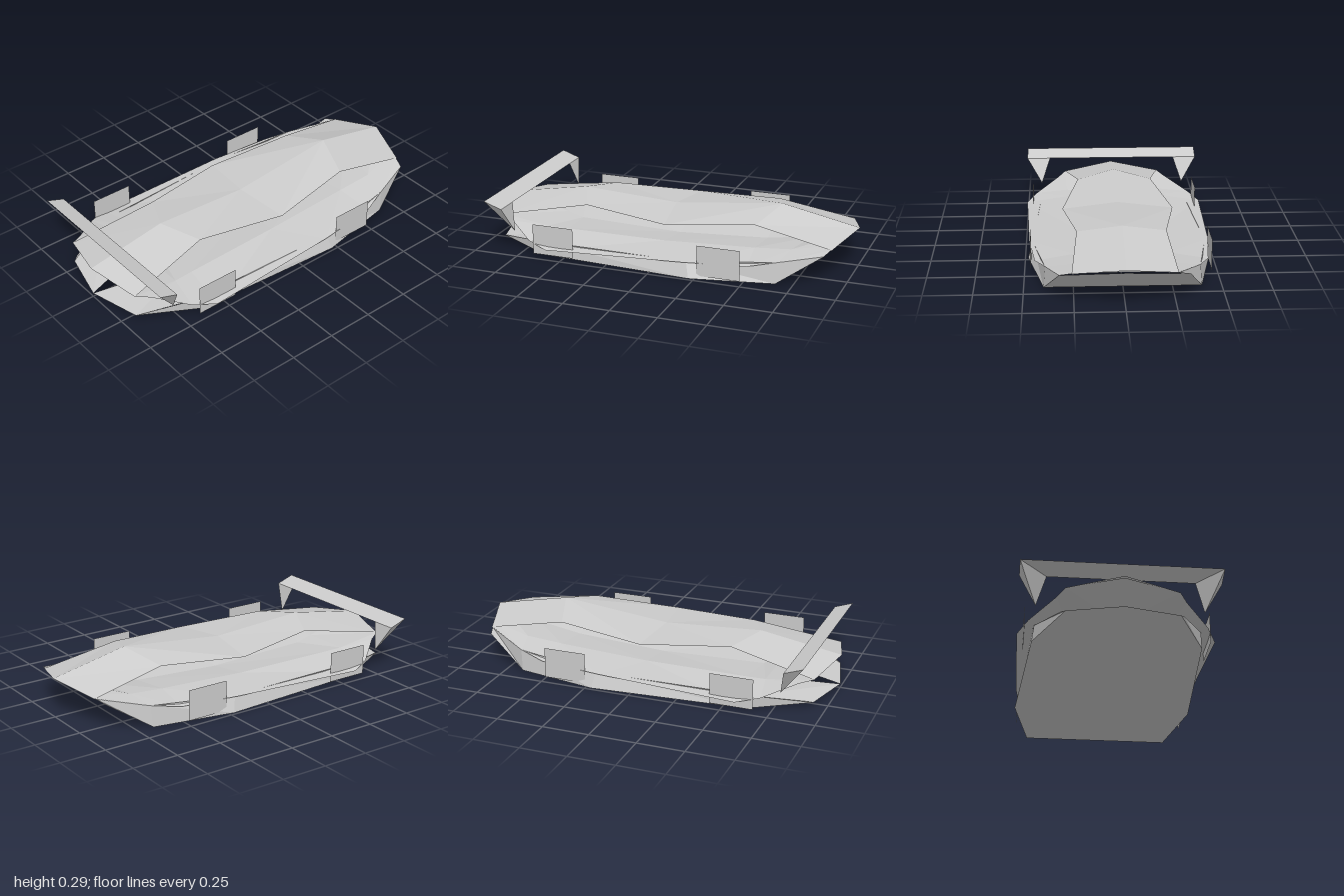
import * as THREE from 'three';

const material = (side) => new THREE.MeshStandardMaterial({ color: 0xcccccc, flatShading: true, side });

// Faceted surface through rows of points, two triangles per cell
function sheet(name, rows, side = THREE.DoubleSide) {
  const pos = [];
  for (let r = 0; r < rows.length - 1; r++) {
    for (let c = 0; c < rows[r].length - 1; c++) {
      const a = rows[r][c], b = rows[r][c + 1], d = rows[r + 1][c], e = rows[r + 1][c + 1];
      // mirror the diagonal about the centre line
      const tris = a[0] + b[0] > 0 ? [a, b, d, b, e, d] : [a, b, e, a, e, d];
      for (const p of tris) pos.push(...p);
    }
  }
  const geo = new THREE.BufferGeometry();
  geo.setAttribute('position', new THREE.Float32BufferAttribute(pos, 3));
  geo.computeVertexNormals();
  const mesh = new THREE.Mesh(geo, material(side));
  mesh.name = name;
  return mesh;
}

const flip = ([x, y, z]) => [-x, y, z];

// Half rows start on the centre line and run outwards to +x
const whole = (rows) => rows.map((row) => [...row.slice(1).reverse().map(flip), ...row]);

export function createModel() {
  const car = new THREE.Group();
  car.name = 'car';

  // Canopy: crest and side edge from one end to the other
  car.add(sheet('canopy', whole([
    [[0, 0.185, 1], [0.28, 0.145, 0.93]],
    [[0, 0.26, 0.56], [0.21, 0.23, 0.46]],
    [[0, 0.23, 0.02], [0.3, 0.207, -0.02]],
    [[0, 0.295, -0.58], [0.23, 0.24, -0.5]],
    [[0, 0.21, -1], [0.26, 0.165, -0.915]],
  ])));

  // Deck with the flared fenders, sagging below the canopy
  car.add(sheet('deck', whole([
    [[0, 0.18, 0.99], [0.28, 0.145, 0.93], [0.32, 0.13, 0.86]],
    [[0, 0.1, 0.67], [0.27, 0.105, 0.67], [0.45, 0.078, 0.7]],
    [[0, 0.075, 0.58], [0.26, 0.1, 0.56], [0.505, 0.058, 0.58]],
    [[0, 0.06, 0], [0.24, 0.095, 0], [0.48, 0.083, -0.18]],
    [[0, 0.09, -0.5], [0.24, 0.12, -0.5], [0.445, 0.092, -0.52]],
    [[0, 0.13, -0.75], [0.25, 0.14, -0.7], [0.39, 0.115, -0.67]],
    [[0, 0.2, -0.99], [0.2, 0.175, -0.93], [0.26, 0.165, -0.915]],
  ])));

  // Floor pan with the raised end panel
  const floor = [
    [[0, 0.02, 1], [0.28, 0.02, 0.93]],
    [[0, 0, 0.62], [0.43, 0, 0.62]],
    [[0, 0, -0.22], [0.485, 0, -0.22]],
    [[0, 0, -0.66], [0.4, 0, -0.66]],
    [[0, 0.16, -0.9], [0.32, 0.15, -0.89]],
  ];
  car.add(sheet('floorPan', whole(floor).map((row) => row.reverse()), THREE.FrontSide));

  for (const s of [1, -1]) {
    const place = (rows) => (s > 0 ? rows : rows.map((row) => row.map(flip)));

    // Lower side wall, leaning in from floor to deck
    car.add(sheet('sideWall', place([
      [[0.28, 0.02, 0.93], [0.3, 0.03, 0.9]],
      [[0.43, 0, 0.62], [0.42, 0.07, 0.66]],
      [[0.485, 0, -0.22], [0.46, 0.083, -0.2]],
      [[0.4, 0, -0.66], [0.39, 0.115, -0.67]],
      [[0.32, 0.15, -0.89], [0.26, 0.165, -0.91]],
    ])));

    // Lip splitter rising from the nose of the floor
    car.add(sheet('splitter', place([
      [[0, 0.02, 1], [0.28, 0.02, 0.93]],
      [[0.14, 0.057, 0.5], [0.43, 0.07, 0.62]],
    ])));

    // Wheels are upright flat plates
    for (const z of [0.55, -0.375]) {
      const wheel = new THREE.Mesh(new THREE.PlaneGeometry(0.232, 0.165), material(THREE.DoubleSide));
      wheel.name = 'wheel';
      wheel.rotation.y = s * Math.PI / 2;
      wheel.position.set(s * 0.468, 0.098, z);
      car.add(wheel);
    }

    // Wing support tapering down to a point
    const tip = [0.42, 0.11, 0.795];
    car.add(sheet('wingSupport', place([
      [[0.505, 0.29, 0.93], [0.505, 0.255, 0.83], [0.37, 0.255, 0.83], [0.505, 0.29, 0.93]],
      [tip, tip, tip, tip],
    ])));
  }

  // Tilted wing blade
  car.add(sheet('wing', whole([
    [[0, 0.29, 0.93], [0.505, 0.29, 0.93]],
    [[0, 0.255, 0.83], [0.505, 0.255, 0.83]],
  ])));

  return car;
}
